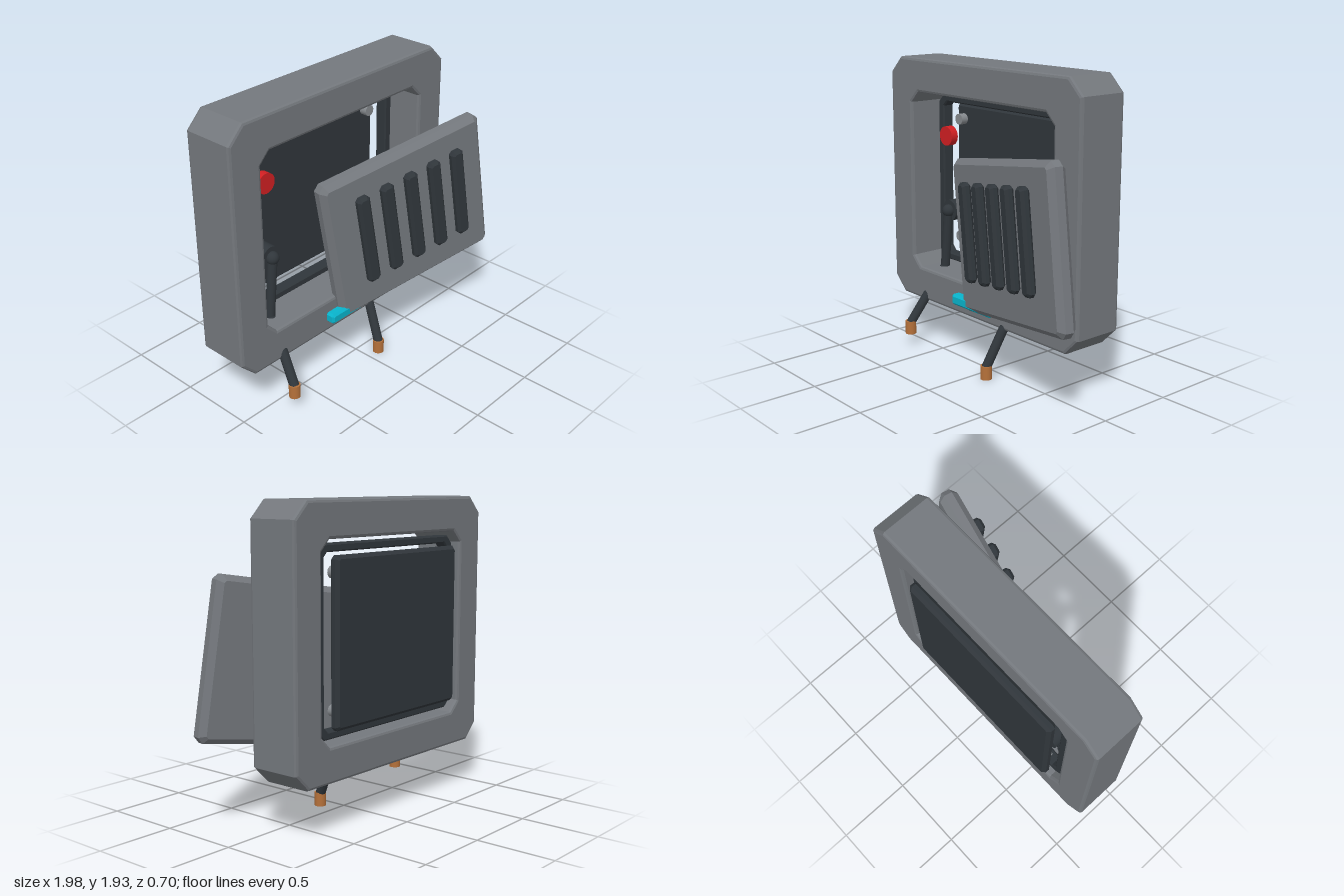
import * as THREE from 'three';

const mat = (name, color) => {
  const m = new THREE.MeshStandardMaterial({ color });
  m.name = name;
  return m;
};

// Rectangle outline with cut corners
function cutRect(w, h, c, Type = THREE.Shape) {
  const x = w / 2, y = h / 2;
  return new Type([
    [-x + c, -y], [x - c, -y], [x, -y + c], [x, y - c],
    [x - c, y], [-x + c, y], [-x, y - c], [-x, -y + c],
  ].map(([a, b]) => new THREE.Vector2(a, b)));
}

// Bevelled plate centred on its origin; hole = [w, h, cut]
function plate(w, h, d, cut, bevel, hole, segments = 1) {
  const shape = cutRect(w, h, cut);
  if (hole) shape.holes.push(cutRect(...hole, THREE.Path));
  const geo = new THREE.ExtrudeGeometry(shape, {
    depth: d - 2 * bevel, bevelEnabled: true, bevelThickness: bevel,
    bevelSize: bevel, bevelOffset: -bevel, bevelSegments: segments,
  });
  return geo.translate(0, 0, bevel - d / 2);
}

export function createModel() {
  const grey = mat('casing grey', 0x74787d);
  const dark = mat('dark metal', 0x30363b);
  const steel = mat('bolt steel', 0x85898d);
  const red = mat('button red', 0xd01f22);
  const copper = mat('copper', 0xb5713a);
  const cyan = mat('indicator cyan', 0x08b4cc);

  const model = new THREE.Group();
  model.name = 'openPanelBox';
  const add = (name, geo, material, x, y, z, parent = model) => {
    const mesh = new THREE.Mesh(geo, material);
    mesh.name = name;
    mesh.position.set(x, y, z);
    parent.add(mesh);
    return mesh;
  };
  const disc = (r, d) => new THREE.CylinderGeometry(r, r, d, 24).rotateX(Math.PI / 2);
  const CX = -0.11, CY = 1.12;

  // Outer frame, inner gasket and back plate
  add('frame', plate(1.78, 1.62, 0.34, 0.105, 0.018, [1.34, 1.18, 0.07], 2), grey, CX, CY, -0.15);
  add('innerRing', plate(1.3, 1.125, 0.08, 0.05, 0.008, [1.19, 1.03, 0.03]), dark, CX, CY, -0.23);
  add('backPlate', plate(1.16, 1.0, 0.066, 0.02, 0.02), dark, CX, CY, -0.322);

  // Bolts at the plate corners
  for (const sx of [-1, 1])
    for (const sy of [-1, 1])
      add('bolt', disc(0.036, 0.05), steel, CX + sx * 0.5, CY + sy * 0.4, -0.265);

  add('button', disc(0.064, 0.05), red, -0.61, 1.42, -0.155);
  add('indicator', plate(0.38, 0.07, 0.07, 0.014, 0.014), cyan, CX, 0.42, 0.05);

  // Cables: from a hub, down through the frame and out to a copper tip
  const cables = [
    { hub: [-0.59, 0.92], mid: [-0.63, 0.53], out: [-0.662, 0.335], tip: [-0.69, 0.132, 0.125] },
    { hub: [0.2, 0.9], mid: [0.155, 0.5], out: [0.122, 0.305], tip: [0.09, 0.046, 0.118] },
  ];
  for (const { hub, mid, out, tip } of cables) {
    const cable = new THREE.Group();
    cable.name = 'cable';
    model.add(cable);
    add('cableHub', disc(0.07, 0.1), dark, ...hub, -0.19, cable);
    add('cableElbow', new THREE.SphereGeometry(0.042, 16, 12), dark, ...hub, -0.13, cable);
    const path = new THREE.CurvePath();
    const pts = [[...hub, -0.13], [...mid, -0.13], [...out, 0.01], [tip[0], tip[1] + 0.03, tip[2]]]
      .map((p) => new THREE.Vector3(...p));
    for (let i = 0; i < 3; i++) path.add(new THREE.LineCurve3(pts[i], pts[i + 1]));
    add('cableHose', new THREE.TubeGeometry(path, 48, 0.031, 12), dark, 0, 0, 0, cable);
    add('cableTip', new THREE.CylinderGeometry(0.036, 0.036, 0.088, 20), copper, ...tip, cable);
  }

  // Loose cover, swung open and tilted, with five slats
  const cover = new THREE.Group();
  cover.name = 'cover';
  cover.position.set(0.325, 0.94, 0.13);
  cover.rotation.set(0, -0.22, 0.157);
  model.add(cover);
  add('coverPlate', plate(1.21, 0.975, 0.12, 0.035, 0.035), grey, 0, 0, 0, cover);
  for (let i = -2; i <= 2; i++)
    add('slat', plate(0.09, 0.62, 0.06, 0.02, 0.018), dark, i * 0.18, 0.04, 0.098, cover);

  return model;
}
